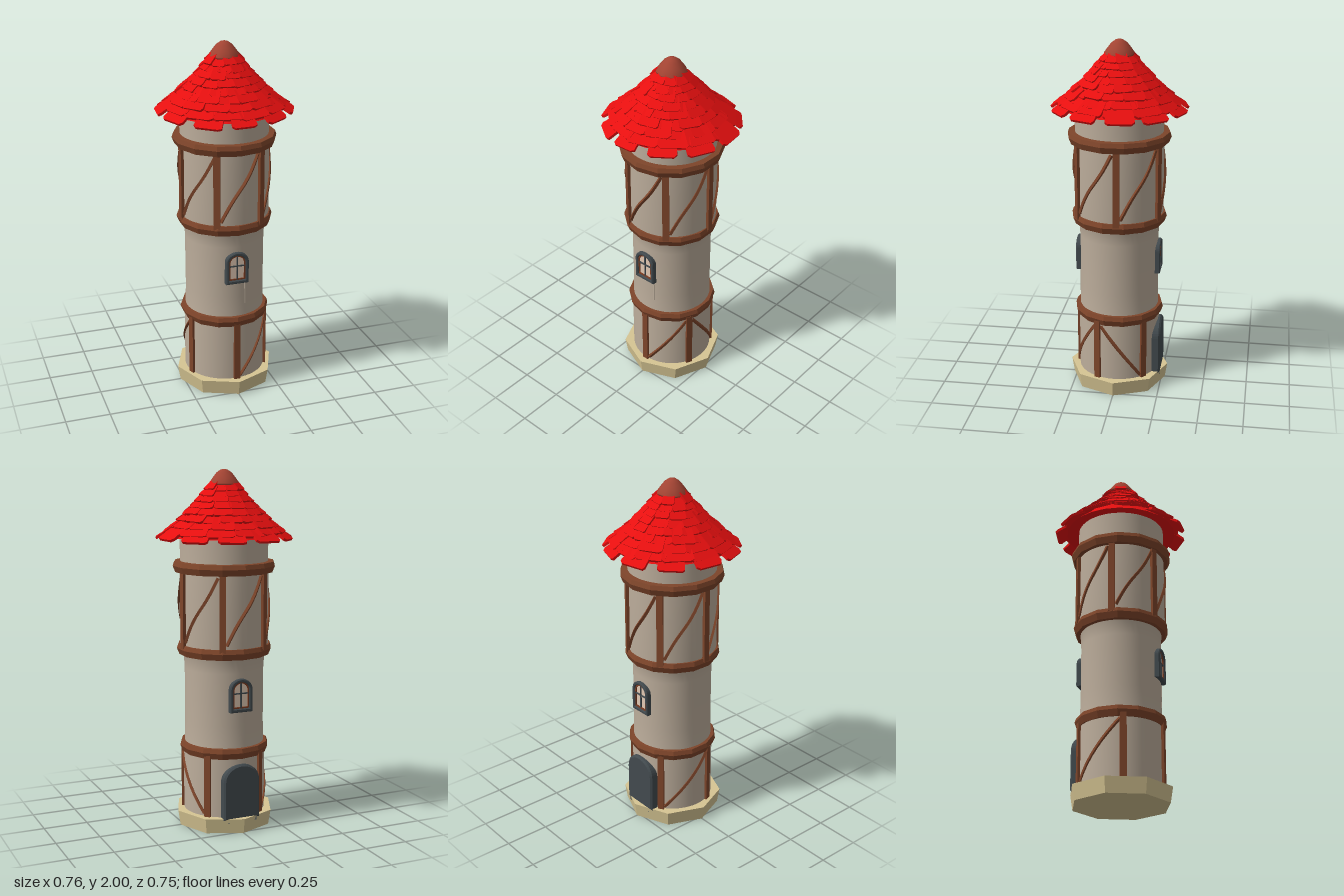
import * as THREE from 'three';

const mat = (name, color, extra = {}) => {
  const m = new THREE.MeshStandardMaterial({ color, ...extra });
  m.name = name;
  return m;
};
const D = THREE.MathUtils.degToRad;

export function createModel() {
  const root = new THREE.Group();
  root.name = 'tower';
  const plaster = mat('plaster', 0xbcad9b, { side: THREE.DoubleSide });
  const wood = mat('wood', 0x7e452a, { flatShading: true });
  const red = mat('roofRed', 0xe60f0f, { flatShading: true, side: THREE.DoubleSide });
  const clay = mat('clayCap', 0xa34433);
  const sand = mat('sandStone', 0xd6c593, { flatShading: true });
  const iron = mat('darkStone', 0x424a4e, { flatShading: true });
  const doorWood = mat('doorWood', 0x7f3f24);
  const cream = mat('paneCream', 0xe2c9b3);
  const steel = mat('paleMetal', 0xb0a89e);

  const add = (name, geo, material, parent = root) => {
    const m = new THREE.Mesh(geo, material);
    m.name = name;
    parent.add(m);
    return m;
  };
  const lathe = (pts, seg) => new THREE.LatheGeometry(pts.map(p => new THREE.Vector2(...p)), seg);
  const box = (name, w, h, d, x, y, z, material, parent) =>
    add(name, new THREE.BoxGeometry(w, h, d), material, parent).position.set(x, y, z);
  let seed = 7;
  const rnd = () => ((seed = (seed * 16807) % 2147483647) / 2147483647) - 0.5;

  // Stone foot, slightly uneven
  const foot = new THREE.CylinderGeometry(0.284, 0.27, 0.085, 8);
  foot.translate(0, 0.0425, 0);
  add('base', foot, sand);

  // Plaster wall, each storey its own radius
  add('wall', lathe([[0.23, 0.05], [0.23, 0.45], [0.224, 0.46], [0.221, 0.6], [0.222, 0.9],
    [0.228, 0.99], [0.248, 1.0], [0.247, 1.45], [0.244, 1.5], [0.246, 1.66]], 48), plaster);

  // Timber rings
  for (const [y, r] of [[0.45, 0.253], [1.01, 0.268], [1.47, 0.288]]) {
    add('timberRing', lathe([[r - 0.06, y - 0.03], [r - 0.014, y - 0.03], [r, y + 0.005],
      [r - 0.008, y + 0.029], [r - 0.06, y + 0.032]], 14), wood);
  }

  // Upright posts
  const post = (deg, r, y0, y1) => {
    const m = add('post', new THREE.BoxGeometry(0.036, y1 - y0, 0.034), wood);
    m.position.set(r * Math.sin(D(deg)), (y0 + y1) / 2, r * Math.cos(D(deg)));
    m.rotation.y = D(deg);
  };
  // Diagonal brace wrapped around the wall
  const brace = (a0, a1, r, y0, y1, bow) => {
    const pts = [];
    for (let i = 0; i <= 8; i++) {
      const t = i / 8, a = D(a0 + (a1 - a0) * t);
      const y = y0 + (y1 - y0) * t + bow * Math.sin(t * Math.PI * 2);
      pts.push(new THREE.Vector3(r * Math.sin(a), y, r * Math.cos(a)));
    }
    add('brace', new THREE.TubeGeometry(new THREE.CatmullRomCurve3(pts), 12, 0.011, 4), wood);
  };
  for (const a of [0, 66, 133, 214, 290]) post(a, 0.226, 0.07, 0.44);
  brace(5, 62, 0.23, 0.1, 0.41, 0);
  brace(71, 128, 0.23, 0.41, 0.1, 0);
  brace(219, 286, 0.23, 0.1, 0.41, 0);
  for (let i = 0; i < 6; i++) {
    const a = -27 + i * 60.5;
    post(a, 0.246, 1.02, 1.46);
    brace(a + 5, a + 55, 0.249, 1.06, 1.43, 0.012);
  }

  // Arched outline used by windows and the door
  const arch = (Type, w, y0, spring, top) => {
    const s = new Type();
    s.moveTo(-w, y0);
    s.lineTo(w, y0);
    s.lineTo(w, spring);
    s.absellipse(0, spring, w, top - spring, 0, Math.PI, false);
    s.lineTo(-w, y0);
    return s;
  };
  const slab = (shape, z0, z1, bevel = 0) => {
    const g = new THREE.ExtrudeGeometry(shape, {
      depth: z1 - z0 - bevel, curveSegments: 10, bevelEnabled: bevel > 0,
      bevelSize: bevel, bevelThickness: bevel, bevelOffset: -bevel, bevelSegments: 1,
    });
    return g.translate(0, 0, z0);
  };

  // Windows front and back
  for (const turn of [0, Math.PI]) {
    const g = new THREE.Group();
    g.name = 'window';
    g.rotation.y = turn;
    root.add(g);
    const frame = arch(THREE.Shape, 0.066, 0.685, 0.815, 0.872);
    frame.holes.push(arch(THREE.Path, 0.047, 0.706, 0.81, 0.853));
    add('windowFrame', slab(frame, 0.19, 0.24, 0.005), iron, g);
    const lining = arch(THREE.Shape, 0.05, 0.7, 0.81, 0.857);
    lining.holes.push(arch(THREE.Path, 0.04, 0.714, 0.808, 0.846));
    add('windowLining', slab(lining, 0.2, 0.232), doorWood, g);
    add('windowPane', slab(arch(THREE.Shape, 0.045, 0.705, 0.81, 0.85), 0.219, 0.226), cream, g);
    box('mullion', 0.007, 0.14, 0.008, 0, 0.78, 0.229, iron, g);
    box('crossbar', 0.086, 0.007, 0.008, 0, 0.79, 0.229, iron, g);
  }
  // Hairline crack under the front window
  box('crack', 0.007, 0.13, 0.006, 0.05, 0.615, 0.215, plaster);

  // Door at the back
  const door = new THREE.Group();
  door.name = 'door';
  door.rotation.y = Math.PI;
  root.add(door);
  const surround = arch(THREE.Shape, 0.108, 0.075, 0.295, 0.39);
  surround.holes.push(arch(THREE.Path, 0.078, 0.07, 0.29, 0.36));
  add('doorSurround', slab(surround, 0.17, 0.25, 0.01), iron, door);
  add('doorLeaf', slab(arch(THREE.Shape, 0.082, 0.075, 0.29, 0.364), 0.19, 0.236), doorWood, door);
  for (const x of [-0.04, 0, 0.04]) box('plankSeam', 0.004, 0.25, 0.004, x, 0.21, 0.236, wood, door);
  for (const y of [0.17, 0.28]) box('hinge', 0.075, 0.009, 0.006, -0.036, y, 0.238, steel, door);
  box('handle', 0.012, 0.03, 0.016, 0.055, 0.21, 0.241, iron, door);

  // Roof core beneath the tiles
  add('roofCore', lathe([[0.24, 1.645], [0.315, 1.635], [0.24, 1.7], [0.15, 1.795],
    [0.07, 1.9], [0.04, 1.94]], 24), red);

  // Tile rows: radius, height of lower edge, number of tiles
  const rows = [[0.366, 1.617, 11], [0.327, 1.648, 13], [0.29, 1.68, 14], [0.252, 1.714, 14],
    [0.217, 1.75, 14], [0.184, 1.784, 13], [0.153, 1.818, 12], [0.126, 1.85, 11], [0.101, 1.88, 10]];
  rows.forEach(([r, y, n], row) => {
    const len = 0.055 + r * 0.14;
    for (let i = 0; i < n; i++) {
      const w = (Math.PI * r / n) * (row ? 1.02 : 0.7) * (1 + rnd() * 0.16), c = w * 0.2;
      const s = new THREE.Shape();
      s.moveTo(-w + c, 0);
      s.lineTo(w - c * (1 + rnd()), 0);
      s.lineTo(w, c * (1 + rnd()));
      s.lineTo(w * 0.85, len);
      s.lineTo(-w * 0.85, len);
      s.lineTo(-w, c);
      const pivot = new THREE.Group();
      pivot.name = 'roofTile';
      pivot.rotation.y = D((i + (row % 2) * 0.5) * 360 / n) + rnd() * 0.05;
      root.add(pivot);
      const tile = add('tile', slab(s, 0, 0.014), red, pivot);
      tile.position.set(0, y + rnd() * 0.01, r + rnd() * 0.008);
      tile.rotation.set(-(Math.PI / 2 - 0.58 - row * 0.02) + rnd() * 0.08, 0, rnd() * 0.14);
    }
  });

  // Rounded cap on the peak
  add('roofCap', lathe([[0, 1.915], [0.082, 1.915], [0.084, 1.925], [0.066, 1.95],
    [0.043, 1.98], [0.02, 1.996], [0, 2.0]], 9), clay);

  return root;
}
